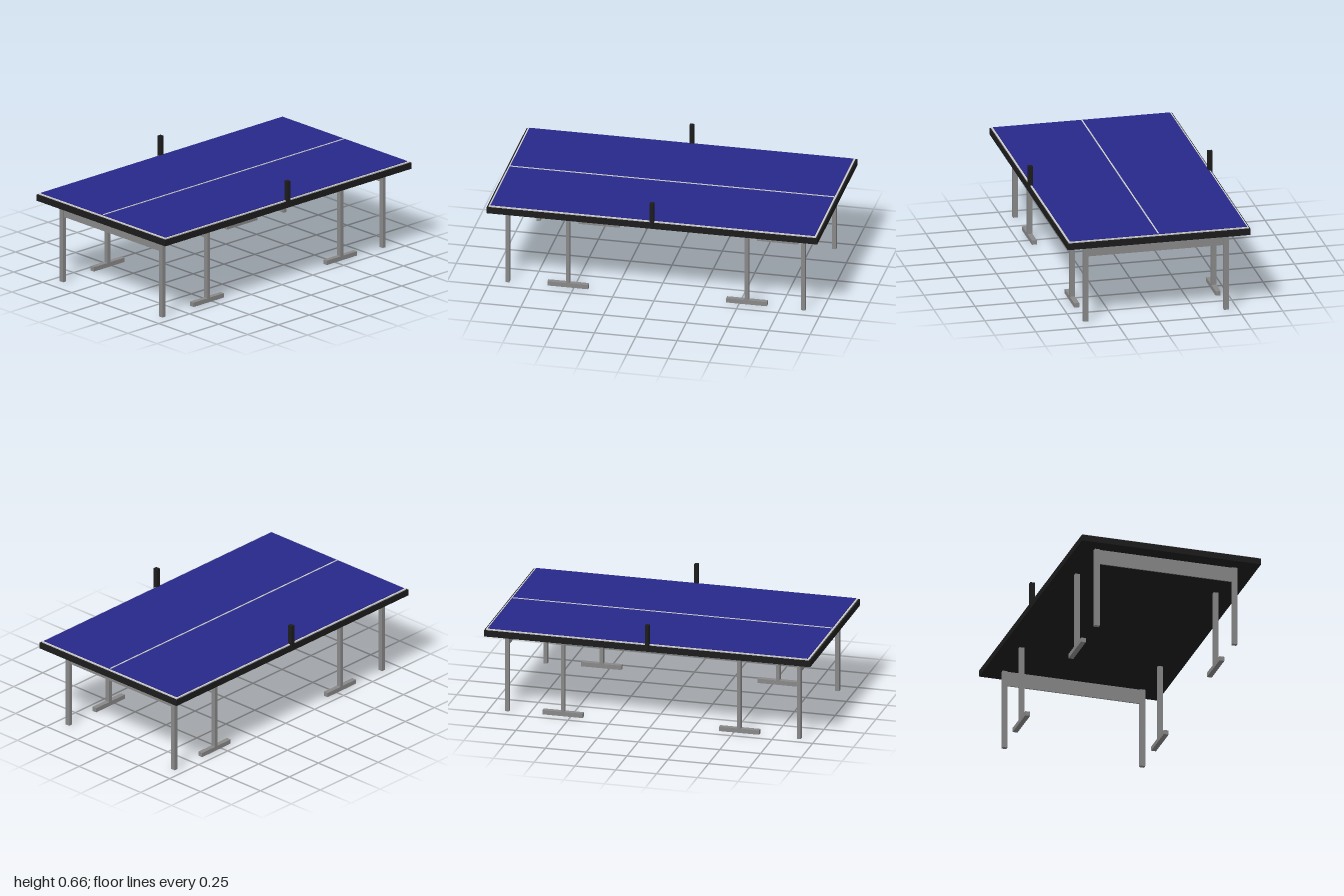
import * as THREE from 'three';

export function createModel() {
  const model = new THREE.Group();
  const mat = (color) => new THREE.MeshStandardMaterial({ color });
  const black = mat(0x1c1c1c), blue = mat(0x27278a), steel = mat(0x888888), white = mat(0xcccccc);

  // Box given by its [min, max] extent on each axis
  function box(name, material, [x0, x1], [y0, y1], [z0, z1], parent = model) {
    const mesh = new THREE.Mesh(new THREE.BoxGeometry(x1 - x0, y1 - y0, z1 - z0), material);
    mesh.position.set((x0 + x1) / 2, (y0 + y1) / 2, (z0 + z1) / 2);
    mesh.name = name;
    parent.add(mesh);
  }

  // Table top: dark frame, pale border, blue playing surface, centre line
  box('tableFrame', black, [-1, 1], [0.498, 0.536], [-0.555, 0.555]);
  box('borderLine', white, [-0.99, 0.99], [0.536, 0.543], [-0.547, 0.547]);
  box('playingSurface', blue, [-0.98, 0.98], [0.543, 0.547], [-0.537, 0.537]);
  box('centreLine', white, [-0.98, 0.98], [0.547, 0.55], [-0.004, 0.004]);

  // Net posts clamped to the long edges
  for (const z of [-0.546, 0.546])
    box('netPost', black, [-0.012, 0.012], [0.51, 0.664], [z - 0.014, z + 0.014]);

  // End supports: a pair of legs joined by an apron
  for (const x of [-0.9, 0.889]) {
    const end = new THREE.Group();
    end.name = 'endSupport';
    for (const z of [-0.432, 0.422])
      box('endLeg', steel, [x - 0.012, x + 0.012], [0, 0.498], [z - 0.015, z + 0.015], end);
    box('apron', steel, [x - 0.004, x + 0.004], [0.407, 0.498], [-0.418, 0.408], end);
    model.add(end);
  }

  // Inner supports: single legs on long feet
  for (const x of [-0.535, 0.546]) {
    for (const z of [-0.437, 0.422]) {
      const support = new THREE.Group();
      support.name = 'innerSupport';
      box('innerLeg', steel, [x - 0.011, x + 0.011], [0.031, 0.498], [z - 0.015, z + 0.015], support);
      box('foot', steel, [x - 0.123, x + 0.123], [0.004, 0.031], [z - 0.015, z + 0.015], support);
      model.add(support);
    }
  }
  return model;
}
